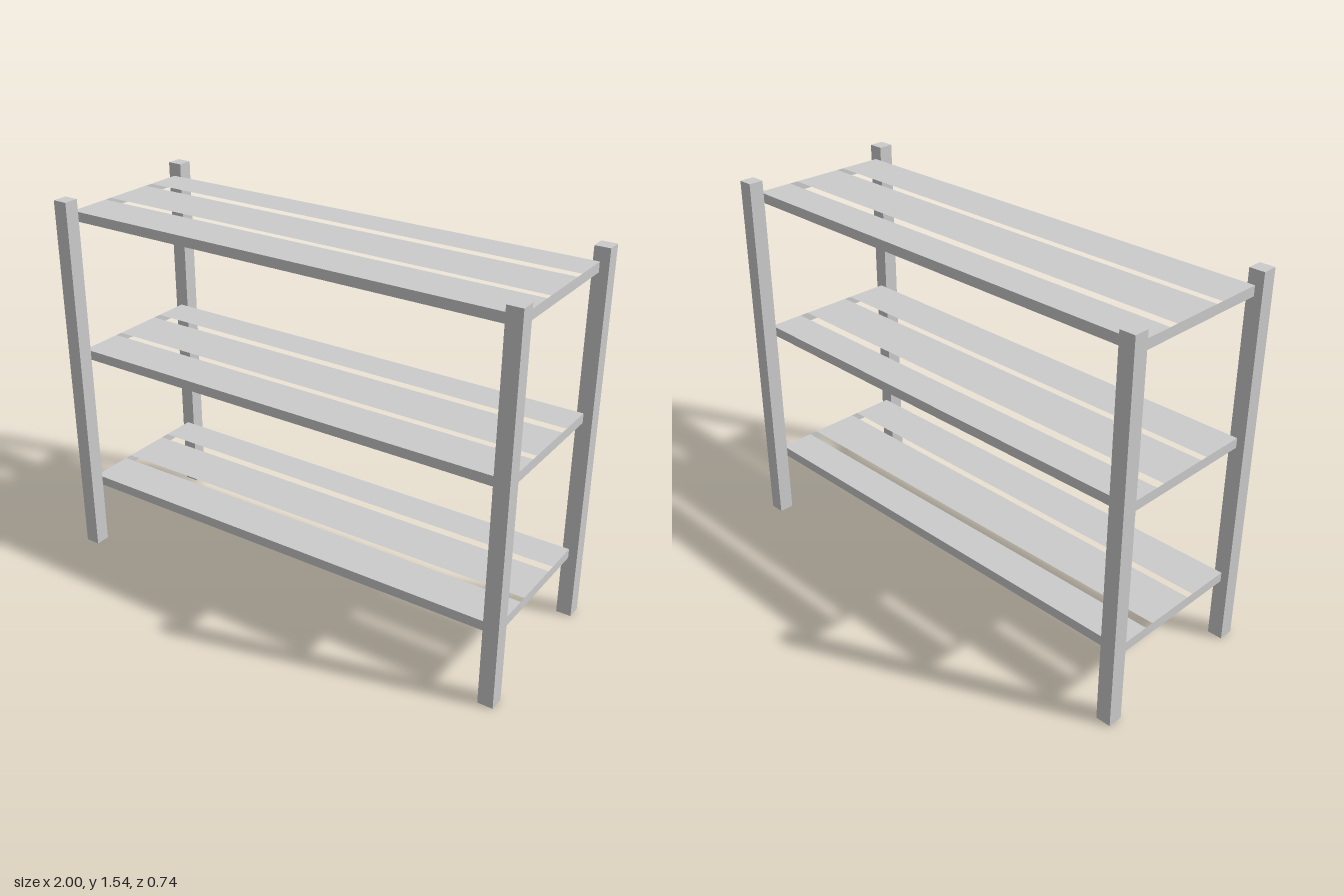
import * as THREE from 'three';

const material = new THREE.MeshStandardMaterial({ color: 0xcccccc, side: THREE.DoubleSide, flatShading: true });

// Sheet spanned by two edge vectors from a corner
function sheet(name, corner, u, v) {
  const [a, b, c] = [corner, u, v].map((p) => new THREE.Vector3(...p));
  const geometry = new THREE.BufferGeometry().setFromPoints([
    a, a.clone().add(b), a.clone().add(b).add(c), a.clone().add(c),
  ]);
  geometry.setIndex([0, 1, 2, 0, 2, 3]);
  geometry.computeVertexNormals();
  const mesh = new THREE.Mesh(geometry, material);
  mesh.name = name;
  return mesh;
}

export function createModel() {
  const model = new THREE.Group();
  model.name = 'shelfRack';

  // Square posts, hollow and open at the foot
  const postHeight = 1.545, postWidth = 0.062;
  for (const sx of [-1, 1]) {
    for (const sz of [-1, 1]) {
      const geometry = new THREE.BoxGeometry(postWidth, postHeight, postWidth);
      const index = Array.from(geometry.index.array);
      index.splice(18, 6); // drop the bottom face
      geometry.setIndex(index);
      const post = new THREE.Mesh(geometry, material);
      post.name = `${sz > 0 ? 'front' : 'back'}${sx > 0 ? 'Left' : 'Right'}Post`;
      post.position.set(sx * (1 - postWidth / 2), postHeight / 2, sz * (0.37 - postWidth / 2));
      model.add(post);
    }
  }

  // Shelves: three thin slats over a shallow rim
  const x0 = -0.971, x1 = 0.965, z0 = -0.306, z1 = 0.303, rim = 0.04;
  const slats = [[z0, -0.157], [-0.12, 0.09], [0.12, z1]];
  for (const top of [0.306, 0.9, 1.491]) {
    const shelf = new THREE.Group();
    shelf.name = 'shelf';
    shelf.position.y = top;
    for (const [back, front] of slats) {
      shelf.add(sheet('slat', [x0, 0, front], [x1 - x0, 0, 0], [0, 0, back - front]));
    }
    shelf.add(
      sheet('frontRim', [x0, -rim, z1], [x1 - x0, 0, 0], [0, rim, 0]),
      sheet('backRim', [x1, -rim, z0], [x0 - x1, 0, 0], [0, rim, 0]),
      sheet('leftRim', [x1, -rim, z1], [0, 0, z0 - z1], [0, rim, 0]),
      sheet('rightRim', [x0, -rim, z0], [0, 0, z1 - z0], [0, rim, 0]),
    );
    model.add(shelf);
  }
  return model;
}
